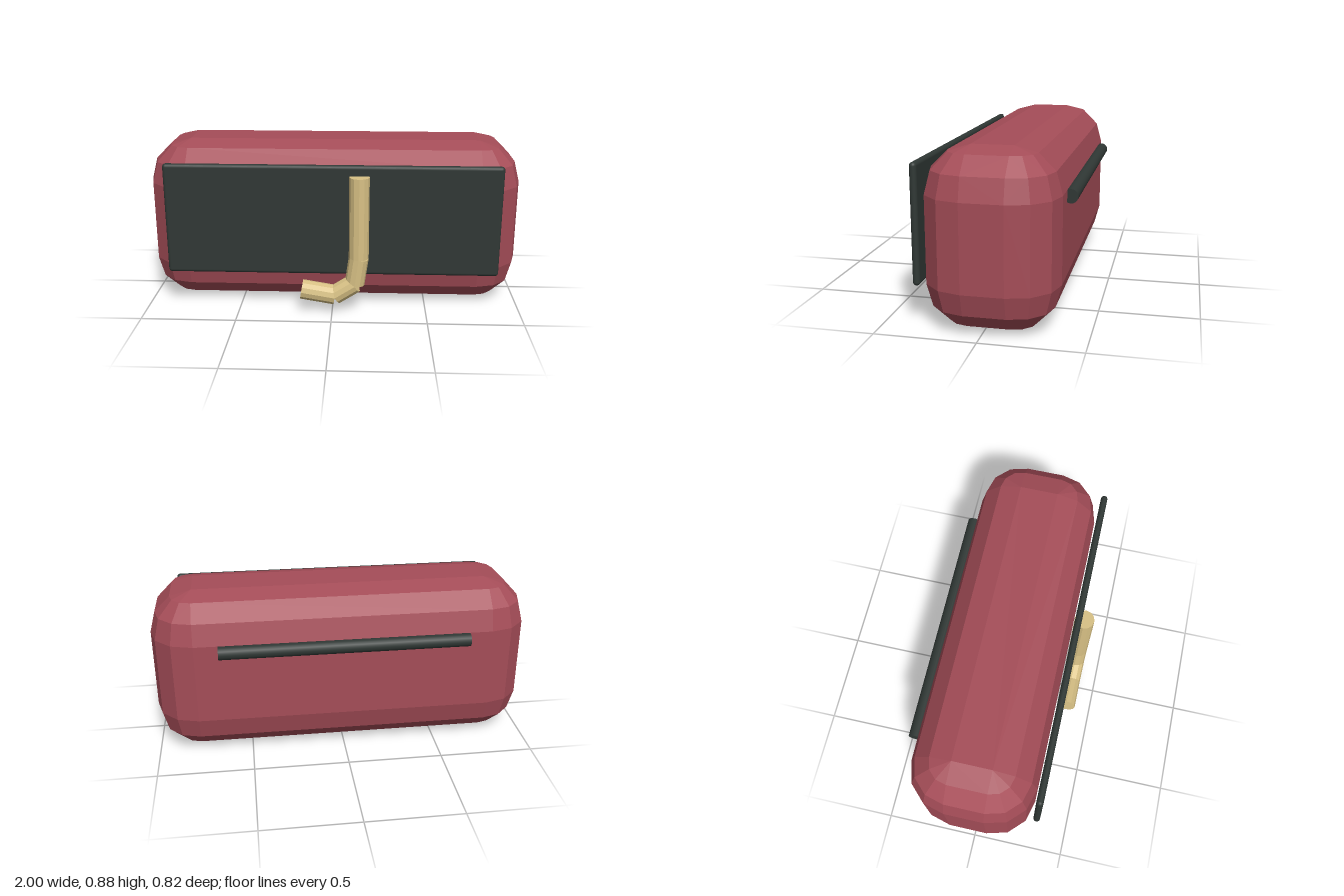
import * as THREE from 'three';
import { ConvexGeometry } from 'three/addons/geometries/ConvexGeometry.js';
import { RoundedBoxGeometry } from 'three/addons/geometries/RoundedBoxGeometry.js';

const red = new THREE.MeshStandardMaterial({ color: 0xa54d58, flatShading: true });
const dark = new THREE.MeshStandardMaterial({ color: 0x303835 });
const tan = new THREE.MeshStandardMaterial({ color: 0xd8c185, flatShading: true });

// Box whose corners are coarse sphere octants, three steps per quarter turn
function facetedBox(w, h, d, r, steps) {
  const points = [];
  for (const sx of [-1, 1]) for (const sy of [-1, 1]) for (const sz of [-1, 1]) {
    for (let i = 0; i <= steps; i++) {
      const lat = (i / steps) * Math.PI / 2;
      for (let j = 0; j <= (i === steps ? 0 : steps); j++) {
        const lon = (j / steps) * Math.PI / 2;
        points.push(new THREE.Vector3(
          sx * (w / 2 - r + r * Math.cos(lat) * Math.cos(lon)),
          sy * (h / 2 - r + r * Math.sin(lat)),
          sz * (d / 2 - r + r * Math.cos(lat) * Math.sin(lon))));
      }
    }
  }
  return new ConvexGeometry(points);
}

// Cylinder running from a to b
function rod(name, a, b, r, sides, material) {
  const dir = b.clone().sub(a);
  const mesh = new THREE.Mesh(new THREE.CylinderGeometry(r, r, dir.length(), sides), material);
  mesh.name = name;
  mesh.position.copy(a).add(b).multiplyScalar(0.5);
  mesh.quaternion.setFromUnitVectors(new THREE.Vector3(0, 1, 0), dir.normalize());
  return mesh;
}

export function createModel() {
  const model = new THREE.Group();
  model.name = 'model';

  // Main body
  const body = new THREE.Mesh(facetedBox(2, 0.878, 0.655, 0.225, 3), red);
  body.name = 'body';
  body.position.set(0, 0.441, -0.0275);
  model.add(body);

  // Thin front panel with rounded edges
  const panel = new THREE.Mesh(new RoundedBoxGeometry(1.755, 0.596, 0.036, 3, 0.0179), dark);
  panel.name = 'frontPanel';
  panel.position.set(0, 0.503, 0.327);
  model.add(panel);

  // Horizontal bar on the back
  model.add(rod('backBar', new THREE.Vector3(-0.65, 0.625, -0.373),
    new THREE.Vector3(0.65, 0.625, -0.373), 0.035, 20, dark));

  // Bent pipe in front of the panel
  const pipe = new THREE.Group();
  pipe.name = 'pipe';
  const bends = [[0.14, 0.747], [0.14, 0.308], [0.12, 0.163], [0.015, 0.095], [-0.163, 0.125]]
    .map(([x, y]) => new THREE.Vector3(x, y, 0.358));
  for (let i = 0; i < bends.length - 1; i++) {
    pipe.add(rod('pipeSegment' + (i + 1), bends[i], bends[i + 1], 0.0525, 12, tan));
  }
  model.add(pipe);
  return model;
}
